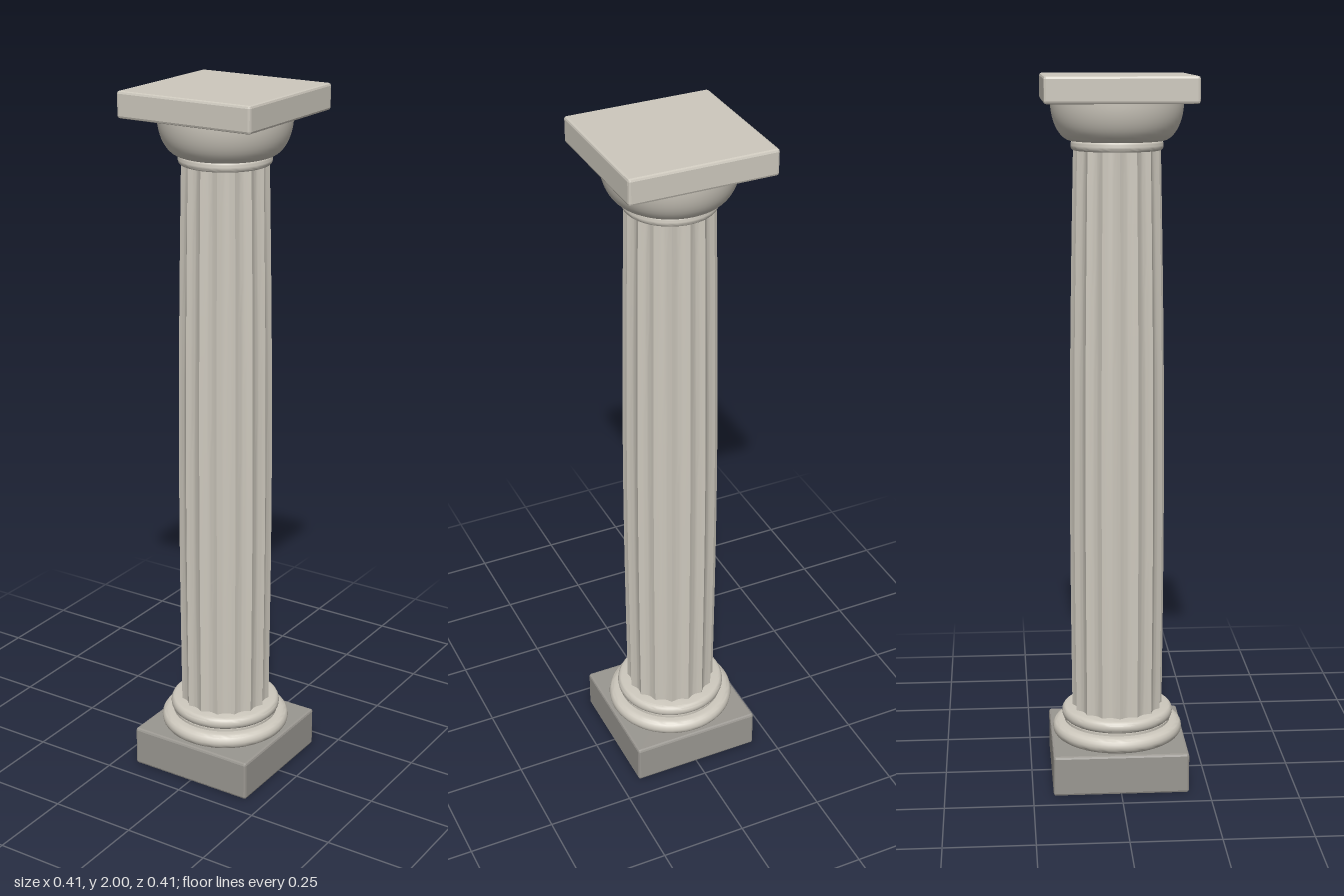
import * as THREE from 'three';
import { toCreasedNormals } from 'three/addons/utils/BufferGeometryUtils.js';
import { RoundedBoxGeometry } from 'three/addons/geometries/RoundedBoxGeometry.js';

export function createModel() {
  const model = new THREE.Group();
  model.name = 'flutedColumn';

  const paleStone = new THREE.MeshStandardMaterial({ color: 0xcdc8bd });
  paleStone.name = 'paleStone';
  const greyStone = new THREE.MeshStandardMaterial({ color: 0x9a9791 });
  greyStone.name = 'greyStone';

  const add = (name, geometry, material) => {
    const mesh = new THREE.Mesh(geometry, material);
    mesh.name = name;
    model.add(mesh);
    return mesh;
  };

  // Square slab with a small chamfer on every edge
  const slab = (name, width, y0, y1, material) => {
    const geometry = new RoundedBoxGeometry(width, y1 - y0, width, 1, 0.007);
    geometry.computeVertexNormals();
    add(name, geometry, material).position.y = (y0 + y1) / 2;
  };

  // Turned moulding from a profile of [radius, height], bottom to top
  const turned = (name, profile) => {
    const points = profile.map(([r, y]) => new THREE.Vector2(r, y));
    add(name, toCreasedNormals(new THREE.LatheGeometry(points, 64), 0.6), paleStone);
  };

  // Half-round bead between two heights, for use inside a profile
  const bead = (radius, bulge, y0, y1) =>
    Array.from({ length: 9 }, (_, i) => {
      const a = (i / 8 - 0.5) * Math.PI;
      return [radius + bulge * Math.cos(a), (y0 + y1) / 2 + ((y1 - y0) / 2) * Math.sin(a)];
    });

  slab('plinth', 0.385, 0, 0.117, greyStone);

  // Base: large torus, fillet and small torus
  turned('base', [
    [0.1, 0.115],
    ...bead(0.165, 0.022, 0.115, 0.16),
    [0.153, 0.16], [0.153, 0.167],
    ...bead(0.147, 0.013, 0.167, 0.202),
    [0.1, 0.202],
  ]);

  // Shaft: sixteen shallow flutes and a gentle swelling
  const flutes = 16, y0 = 0.19, y1 = 1.81;
  const shaft = new THREE.CylinderGeometry(1, 1, 1, flutes * 8, 16, true);
  const pos = shaft.attributes.position;
  for (let i = 0; i < pos.count; i++) {
    const angle = Math.atan2(pos.getX(i), pos.getZ(i));
    const t = pos.getY(i) + 0.5;
    const outer = 0.13 - 0.01 * t + 0.008 * Math.sin(Math.PI * t);
    const r = outer - 0.01 * Math.abs(Math.sin((angle * flutes) / 2));
    pos.setXYZ(i, r * Math.sin(angle), y0 + (y1 - y0) * t, r * Math.cos(angle));
  }
  add('shaft', toCreasedNormals(shaft, 0.5), paleStone);

  // Neck ring under the capital
  turned('neckRing', [[0.09, 1.798], ...bead(0.119, 0.008, 1.798, 1.826), [0.09, 1.826]]);

  // Echinus: bowl that swells out to carry the top slab
  const bowl = Array.from({ length: 13 }, (_, i) => {
    const a = (i / 12) * (Math.PI / 2);
    return [0.122 + 0.06 * Math.sin(a), 1.932 - 0.109 * Math.cos(a)];
  });
  turned('echinus', [[0.09, 1.823], ...bowl, [0.1, 1.932]]);

  slab('abacus', 0.41, 1.928, 2, paleStone);

  return model;
}
